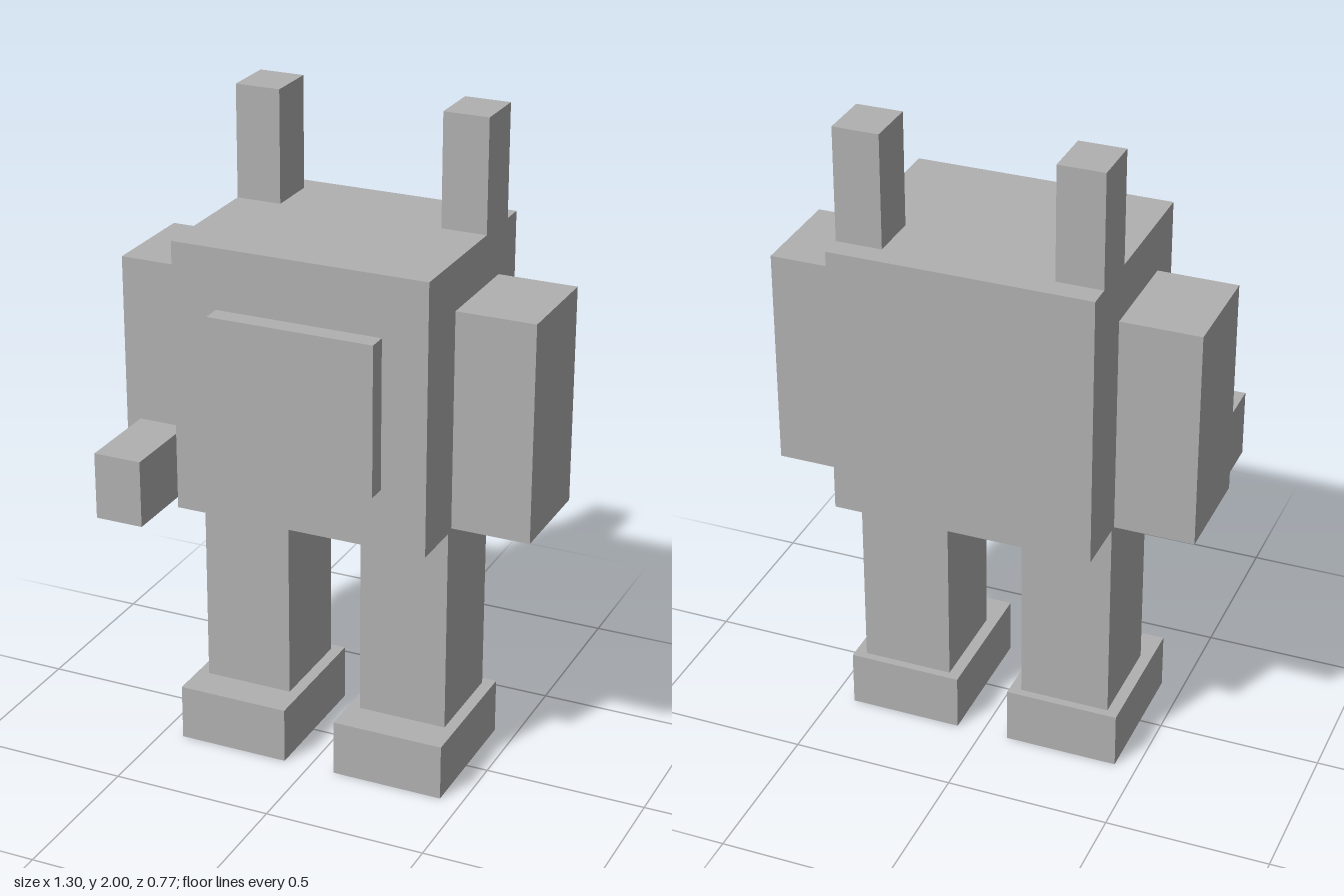
import * as THREE from 'three';

export function createModel() {
  const model = new THREE.Group();
  const grey = new THREE.MeshStandardMaterial({ color: 0xb0b0b0 });
  grey.name = 'grey';

  // Box given by its limits on each axis
  function box(name, [x0, x1], [y0, y1], [z0, z1]) {
    const mesh = new THREE.Mesh(new THREE.BoxGeometry(x1 - x0, y1 - y0, z1 - z0), grey);
    mesh.position.set((x0 + x1) / 2, (y0 + y1) / 2, (z0 + z1) / 2);
    mesh.name = name;
    model.add(mesh);
  }

  // The same box on the left (+x) and the right (-x)
  function pair(name, [x0, x1], y, z) {
    box('left' + name, [x0, x1], y, z);
    box('right' + name, [-x1, -x0], y, z);
  }

  // Torso with raised chest panel
  box('body', [-0.396, 0.396], [0.82, 1.653], [-0.385, 0.265]);
  box('chestPanel', [-0.257, 0.257], [1.005, 1.467], [0.265, 0.325]);

  // Upright posts on top
  pair('Post', [0.256, 0.396], [1.653, 2], [-0.315, -0.153]);

  // Arms, standing slightly clear of the body
  pair('Arm', [0.408, 0.65], [0.843, 1.514], [-0.222, 0.102]);

  // Forearm block on the right arm only
  box('rightForearm', [-0.605, -0.455], [0.795, 1.003], [0.102, 0.383]);

  // Legs and feet
  pair('Leg', [0.118, 0.396], [0.175, 0.82], [-0.207, 0.095]);
  pair('Foot', [0.082, 0.432], [0, 0.175], [-0.233, 0.208]);

  return model;
}
